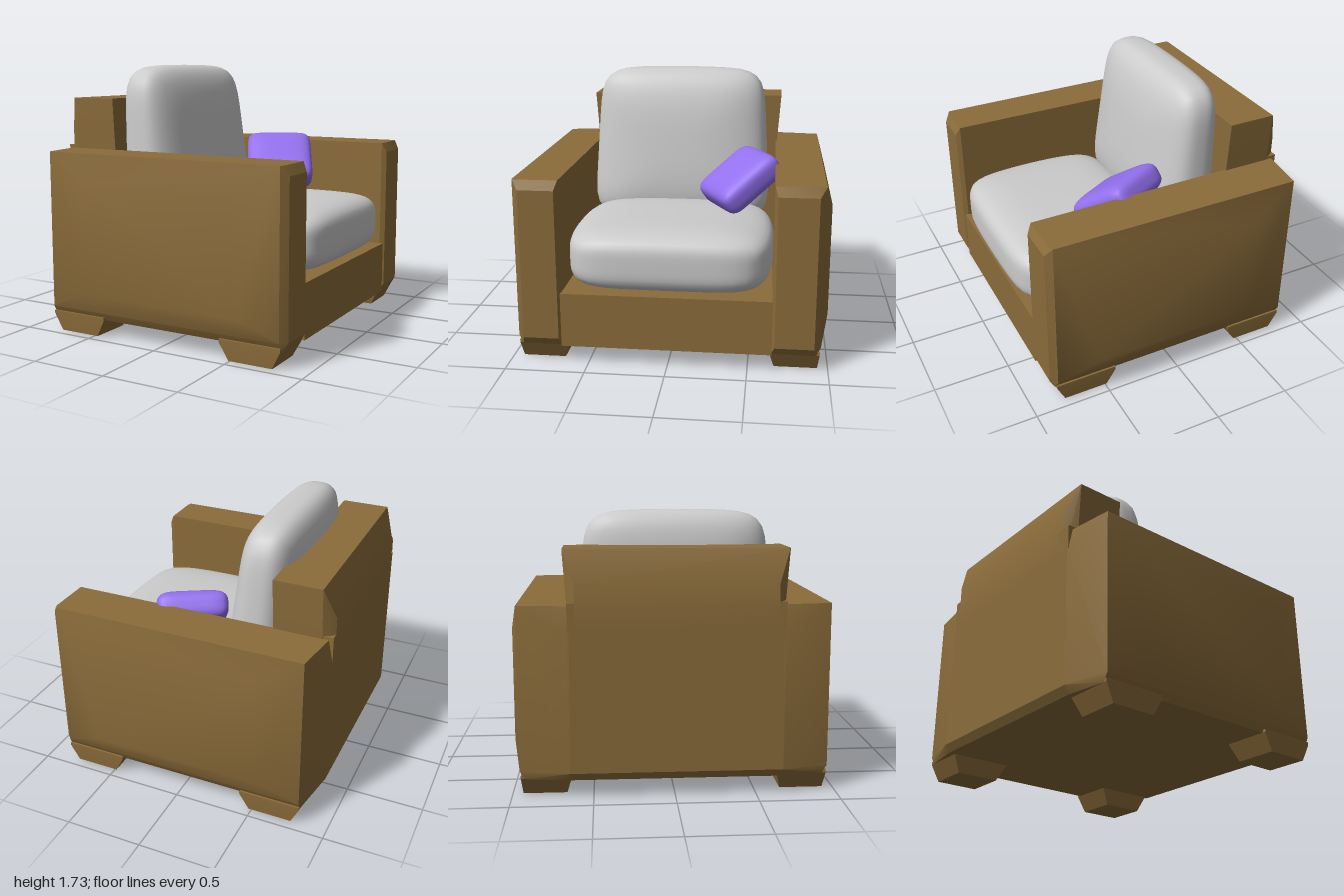
import * as THREE from 'three';
import { mergeVertices, toCreasedNormals } from 'three/addons/utils/BufferGeometryUtils.js';
import { ConvexGeometry } from 'three/addons/geometries/ConvexGeometry.js';

const brown = new THREE.MeshStandardMaterial({ color: 0x8b6c3a });
const grey = new THREE.MeshStandardMaterial({ color: 0xcccccc });
const purple = new THREE.MeshStandardMaterial({ color: 0x9370ee });

// Eight corners of a box given by its ranges.
function corners([x0, x1], [y0, y1], [z0, z1]) {
  const points = [];
  for (const x of [x0, x1]) for (const y of [y0, y1]) for (const z of [z0, z1]) points.push(new THREE.Vector3(x, y, z));
  return points;
}

// Bevelled block: the hull of several boxes, with soft shading over shallow edges.
function block(name, ...boxes) {
  const points = boxes.flatMap((b) => corners(...b));
  const geometry = toCreasedNormals(new ConvexGeometry(points), 0.45);
  const mesh = new THREE.Mesh(geometry, brown);
  mesh.name = name;
  return mesh;
}

// Puffed cushion: a cube pushed onto a rounded-square pillow; axis is the thin direction.
function cushion(name, size, axis, material, { plan = 7, puff = 4, shape } = {}) {
  let geometry = new THREE.BoxGeometry(2, 2, 2, 14, 14, 14);
  geometry.deleteAttribute('normal');
  geometry.deleteAttribute('uv');
  geometry = mergeVertices(geometry);
  const position = geometry.attributes.position;
  const p = new THREE.Vector3();
  const [a, b] = ['x', 'y', 'z'].filter((k) => k !== axis);
  for (let i = 0; i < position.count; i++) {
    p.fromBufferAttribute(position, i);
    const flat = Math.abs(p[a]) ** plan + Math.abs(p[b]) ** plan;
    p.divideScalar((flat ** (puff / plan) + Math.abs(p[axis]) ** puff) ** (1 / puff));
    if (shape) shape(p);
    p.multiply(size);
    position.setXYZ(i, p.x, p.y, p.z);
  }
  geometry.computeVertexNormals();
  const mesh = new THREE.Mesh(geometry, material);
  mesh.name = name;
  return mesh;
}

export function createModel() {
  const chair = new THREE.Group();
  chair.name = 'armchair';

  // Arms with bulging outer panels and bevelled front ends, and the feet under them
  for (const [side, s, inner] of [['right', 1, 0.665], ['left', -1, 0.645]]) {
    const z = (from, to) => [from * s, to * s];
    chair.add(block(`${side}Arm`,
      [[0.83, 0.87], [0.16, 1.12], z(inner + 0.02, 0.91)],
      [[-0.82, 0.83], [0.16, 1.18], z(inner, 0.95)],
      [[-0.82, 0.84], [0.11, 1.18], z(inner, 0.92)],
      [[-0.54, 0.56], [0.28, 1.0], z(0.9, 1.0)],
      [[-0.89, -0.8], [0.16, 1.03], z(inner - 0.01, inner)],
      [[-0.86, -0.8], [0.11, 1.18], z(inner - 0.01, inner)]));
    for (const [end, top, bottom] of [['back', [-0.82, -0.42], [-0.765, -0.48]], ['front', [0.43, 0.835], [0.49, 0.78]]]) {
      chair.add(block(`${side}${end}Foot`, [top, [0.11, 0.13], z(0.635, 0.945)], [bottom, [0, 0.01], z(0.665, 0.935)]));
    }
  }

  // Back frame, flaring above the arms
  chair.add(block('lowerBack', [[-0.89, -0.51], [0.16, 1.2], [-0.645, 0.665]], [[-0.86, -0.51], [0.11, 0.2], [-0.645, 0.665]]));
  chair.add(block('upperBack',
    [[-0.82, -0.51], [1.5, 1.515], [-0.67, 0.69]],
    [[-0.89, -0.6], [1.03, 1.31], [-0.6, 0.62]],
    [[-0.82, -0.51], [1.0, 1.01], [-0.635, 0.655]]));

  // Seat frame
  chair.add(block('seatFrame', [[-0.8, 0.862], [0.11, 0.46], [-0.65, 0.67]]));

  // Seat cushion, bowed at its sides and front
  const seat = cushion('seatCushion', new THREE.Vector3(0.53, 0.205, 0.655), 'y', grey, {
    puff: 4.2,
    shape: (p) => {
      const { x, z } = p;
      p.z *= 1 - 0.09 * x * x;
      p.x *= 1 - 0.03 * z * z;
      p.y *= p.y > 0 ? 1 - 0.1 * z * z : 1;
    },
  });
  seat.position.set(0.365, 0.662, 0.01);
  chair.add(seat);

  // Back cushion, thicker and wider towards the bottom
  const back = cushion('backCushion', new THREE.Vector3(0.25, 0.54, 0.625), 'x', grey, {
    puff: 3.2,
    shape: (p) => {
      const { y, z } = p;
      p.x = p.x * (0.92 - 0.12 * y) * (1 - 0.12 * z * z) - 0.17 * y;
      p.z *= 0.97 - 0.05 * y;
      p.y *= 1 - 0.03 * z * z;
    },
  });
  back.position.set(-0.345, 1.19, 0.03);
  chair.add(back);

  // Loose pillow leaning in the corner
  const pillow = cushion('throwPillow', new THREE.Vector3(0.23, 0.105, 0.235), 'y', purple, { plan: 8, puff: 3.5 });
  pillow.rotation.set(0.63, 0.5, 0, 'YXZ');
  pillow.position.set(0.15, 1.05, -0.41);
  chair.add(pillow);

  return chair;
}
